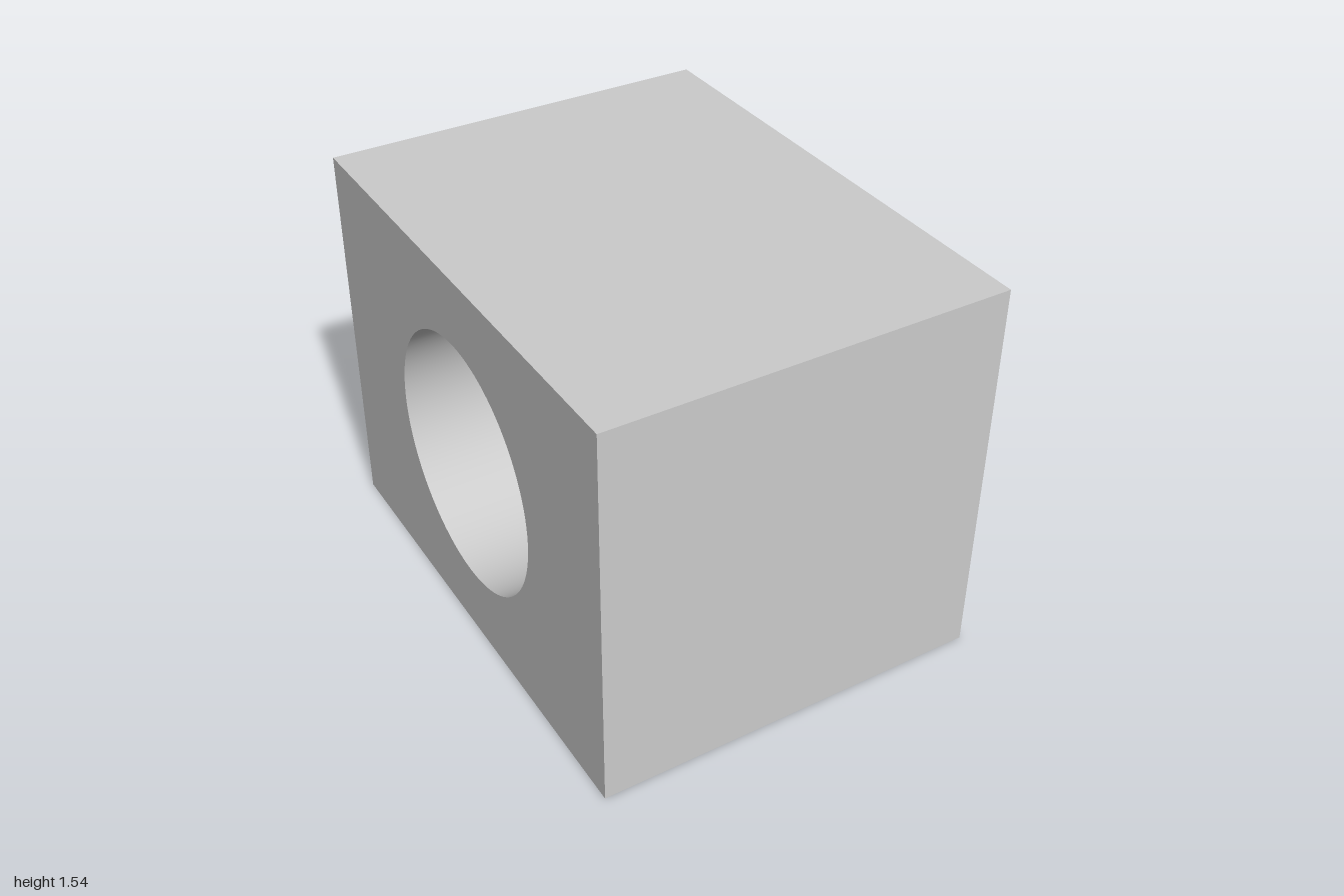
import * as THREE from 'three';
import { toCreasedNormals } from 'three/addons/utils/BufferGeometryUtils.js';

const WIDTH = 1.54, HEIGHT = 1.54, LENGTH = 2, BORE_RADIUS = 0.5;

export function createModel() {
  const group = new THREE.Group();
  group.name = 'boredBlock';

  // Side profile: rectangle with a centred round hole
  const l = LENGTH / 2, h = HEIGHT / 2;
  const profile = new THREE.Shape([
    new THREE.Vector2(-l, -h),
    new THREE.Vector2(l, -h),
    new THREE.Vector2(l, h),
    new THREE.Vector2(-l, h),
  ]);
  profile.holes.push(new THREE.Path().absarc(0, 0, BORE_RADIUS, 0, Math.PI * 2, true));

  // Extrude across the width, then turn so the bore runs along x
  const solid = new THREE.ExtrudeGeometry(profile, {
    depth: WIDTH,
    bevelEnabled: false,
    curveSegments: 48,
  });
  solid.translate(0, 0, -WIDTH / 2);
  solid.rotateY(Math.PI / 2);
  solid.translate(0, h, 0);

  // Smooth bore wall, sharp outer edges
  const block = new THREE.Mesh(
    toCreasedNormals(solid, Math.PI / 6),
    new THREE.MeshStandardMaterial({ color: 0xcccccc }),
  );
  block.name = 'blockWithThroughHole';
  group.add(block);
  return group;
}
